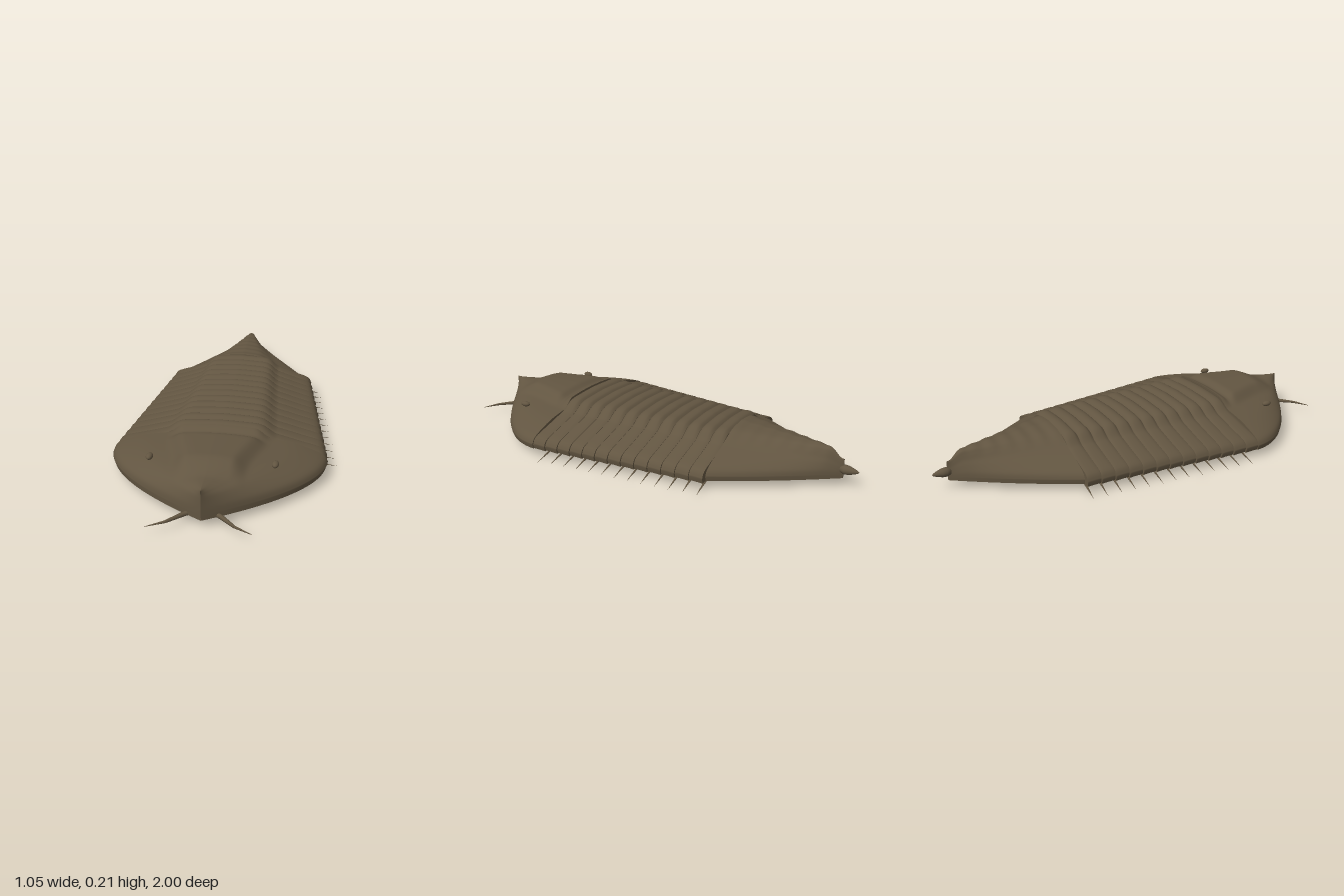
import * as THREE from 'three';

const shell = new THREE.MeshStandardMaterial({ color: 0x625541, side: THREE.DoubleSide });
shell.name = 'brown shell';

const { lerp, smoothstep } = THREE.MathUtils;
const V = (x, y, z) => new THREE.Vector3(x, y, z);
const RIM = .036;

// Half cross-sections from rim to midline: [share of half width, height]
const vectors = pts => pts.map(p => new THREE.Vector2(...p));
const smoothHalf = pts => [new THREE.Vector2(.985, RIM), ...new THREE.SplineCurve(vectors(pts)).getPoints(30)];
const cheek = smoothHalf([[1, .058], [.945, .092], [.72, .132], [.5, .151], [.35, .16], [.18, .167], [0, .17]]);
const pleura = smoothHalf([[1, .058], [.945, .092], [.75, .119], [.57, .144], [.5, .157], [.38, .195], [.2, .204], [0, .208]]);
const tailHalf = smoothHalf([[1, .058], [.945, .088], [.75, .122], [.55, .148], [.4, .174], [.25, .194], [0, .203]]);

function named(name, geometry) {
  const m = new THREE.Mesh(geometry, shell);
  m.name = name;
  return m;
}

// Shell through mirrored cross-sections with end walls; shape(x, y, z) adjusts the height
function loft(name, profile, rows, width, shape) {
  const pos = [], idx = [], n = profile.length * 2 - 1;
  const addRow = z => {
    const w = width(z);
    for (let j = 0; j < n; j++) {
      const p = profile[Math.min(j, n - 1 - j)];
      const x = p.x * w * (j < n / 2 ? -1 : 1);
      pos.push(x, shape(Math.abs(x), p.y, z), z);
    }
  };
  rows.forEach(addRow);
  for (let i = 0; i < rows.length - 1; i++) {
    for (let j = 0; j < n - 1; j++) {
      const a = i * n + j, c = a + n;
      idx.push(a, a + 1, c, a + 1, c + 1, c);
    }
  }
  // End walls join each point to its mirror image
  [rows[0], rows[rows.length - 1]].forEach((z, k) => {
    const start = (rows.length + k) * n;
    addRow(z);
    for (let j = 0; j < profile.length - 1; j++) {
      const a = start + j, b = a + 1, d = start + n - 1 - j, c = d - 1;
      if (k === 0) idx.push(a, d, b, d, c, b);
      else idx.push(a, b, d, d, b, c);
    }
  });
  const g = new THREE.BufferGeometry();
  g.setAttribute('position', new THREE.Float32BufferAttribute(pos, 3));
  g.setIndex(idx);
  g.computeVertexNormals();
  return named(name, g);
}

// Flat triangular underside facing down, points given as [x, z]
function belly(name, points) {
  const m = named(name, new THREE.ShapeGeometry(new THREE.Shape(vectors(points))));
  m.rotation.x = Math.PI / 2;
  m.position.y = RIM;
  return m;
}

// Tapered round bar between two points
function spike(name, from, to, r0, r1 = 0) {
  const d = to.clone().sub(from);
  const m = named(name, new THREE.CylinderGeometry(r1, r0, d.length(), 8));
  m.position.copy(from).addScaledVector(d, .5);
  m.quaternion.setFromUnitVectors(V(0, 1, 0), d.normalize());
  return m;
}

const range = (a, b, n) => Array.from({ length: n + 1 }, (_, i) => lerp(a, b, i / n));

export function createModel() {
  const model = new THREE.Group();
  model.name = 'trilobite';

  // Head shield with a raised central lobe and a furrow at its back
  const headWidth = z => .48 * (1 - Math.pow((z - .43) / .5, 1.9));
  model.add(loft('headShield', cheek, range(.93, .43, 44), headWidth, (x, y, z) => {
    const lobe = lerp(.19, .12, smoothstep(z, .43, .75));
    const furrow = 1 - .55 * Math.exp(-(((z - .475) / .024) ** 2));
    return y + .037 * (1 - smoothstep(x, lobe - .03, lobe + .04)) * (1 - smoothstep(z, .7, .83)) * furrow;
  }));
  model.add(belly('headBelly', [[0, .93], [-.472, .43], [.472, .43]]));

  // Thirteen body segments, each arched along its length
  const count = 13, step = .86 / count;
  for (let i = 0; i < count; i++) {
    const z0 = .43 - i * step, w = lerp(.475, .375, i / (count - 1));
    model.add(loft('bodySegment', pleura, range(z0, z0 - step, 8), () => w, (x, y, z) => {
      const arch = Math.sqrt(Math.max(0, Math.sin(Math.PI * (z0 - z) / step)));
      const dip = lerp(.05, .1, smoothstep(y, .13, .19));
      return RIM + (y - RIM) * (1 - dip * (1 - arch));
    }));

    // Slightly tilted plate below each segment
    const plate = named('segmentBelly', new THREE.PlaneGeometry(w * 1.97, step));
    plate.rotation.x = Math.PI / 2 - .08;
    plate.position.set(0, RIM + .001, z0 - step / 2);
    model.add(plate);

    // Spines under the rear edge of each segment
    for (const s of [-1, 1]) {
      const z = z0 - step * .75;
      model.add(spike('sideSpine', V(s * w * .6, .034, z + .012), V(s * (w + .052), 0, z - .016), .011));
    }
  }

  // Tail shield, falling towards its tip, with faint rings on the central lobe
  const tailWidth = z => {
    const t = (-.43 - z) / .5;
    return lerp(.347, .004, t) + .05 * t * (1 - t);
  };
  model.add(loft('tailShield', tailHalf, range(-.43, -.93, 56), tailWidth, (x, y, z) => {
    const t = (-.43 - z) / .5;
    const top = 1 - .2 * t - .25 * smoothstep(t, .84, 1);
    const ring = .002 * Math.sin(t * Math.PI * 14) * smoothstep(y, .15, .19);
    return RIM + (y - RIM) * top + ring;
  }));
  model.add(belly('tailBelly', [[.342, -.43], [-.342, -.43], [0, -.93]]));

  // Pointed, slightly swollen tail spine
  const spine = [[0, 0], [.016, .012], [.022, .03], [.02, .05], [.012, .075], [.005, .09], [0, .095]];
  const tailSpine = named('tailSpine', new THREE.LatheGeometry(vectors(spine), 16));
  tailSpine.rotation.x = -Math.PI / 2;
  tailSpine.position.set(0, .078, -.905);
  model.add(tailSpine);

  // Eyes and feelers
  for (const s of [-1, 1]) {
    const eye = named('eye', new THREE.SphereGeometry(1, 16, 12));
    eye.scale.set(.015, .013, .025);
    eye.position.set(s * .265, .15, .65);
    model.add(eye);

    const path = [V(s * .03, .042, .865), V(s * .075, .041, .9), V(s * .135, .04, .96), V(s * .207, .038, 1)];
    const radius = [.012, .01, .006, .001];
    for (let i = 0; i < 3; i++) model.add(spike('feeler', path[i], path[i + 1], radius[i], radius[i + 1]));
  }
  return model;
}
